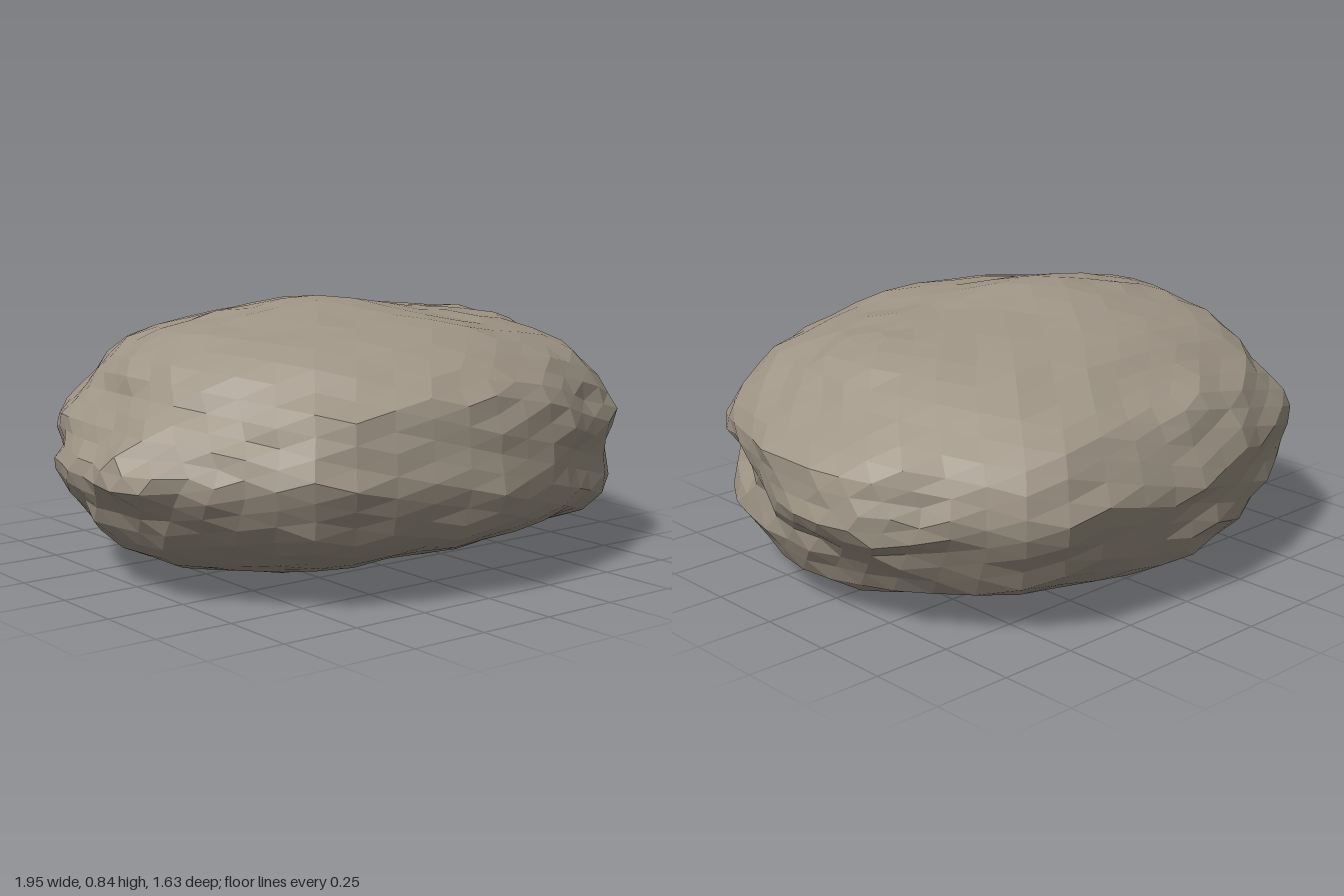
import * as THREE from 'three';

// Half extents and middle height of the boulder
const HALF = new THREE.Vector3(1, 0.43, 0.8);
const MID_Y = 0.42;

// Outlines around the boulder: across/up, depth/up and across/depth
const frontOutline = [
  [-.95, .4], [-.88, .47], [-.81, .55], [-.76, .69], [-.68, .73], [-.58, .79], [-.35, .82], [-.2, .855],
  [-.1, .855], [.2, .8], [.55, .78], [.7, .74], [.85, .6], [.97, .52], [.98, .46], [.94, .34], [.86, .2],
  [.82, .09], [.75, .06], [.5, .03], [.1, .04], [-.1, .02], [-.37, 0], [-.65, .06], [-.8, .14], [-.88, .22],
  [-.92, .3]];
const sideOutline = [
  [.8, .4], [.78, .58], [.76, .64], [.65, .71], [.5, .78], [.4, .8], [.25, .81], [.1, .855], [-.03, .855],
  [-.2, .81], [-.35, .8], [-.5, .76], [-.6, .68], [-.72, .61], [-.77, .52], [-.8, .4], [-.785, .25],
  [-.72, .13], [-.62, .07], [-.4, .06], [-.25, .015], [-.15, 0], [0, .02], [.3, .04], [.5, .1], [.7, .17],
  [.77, .22]];
const topOutline = [
  [1, -.2], [.97, 0], [.9, .2], [.83, .45], [.73, .57], [.5, .63], [.3, .76], [.15, .78], [0, .8], [-.2, .77],
  [-.5, .72], [-.62, .66], [-.75, .5], [-.93, .33], [-1, .22], [-.92, .03], [-.9, -.1], [-.85, -.3],
  [-.78, -.42], [-.67, -.61], [-.45, -.7], [-.2, -.79], [0, -.8], [.28, -.8], [.55, -.77], [.65, -.7],
  [.82, -.5], [.95, -.38]];

// Returns a function giving the radius of an outline towards (a, b), where 1 is a plain ellipse
function outlineRadius(points, halfA, halfB, centreB) {
  const p = points.map(([a, b]) => [a / halfA, (b - centreB) / halfB]);
  return (a, b) => {
    const len = Math.hypot(a, b);
    let best = 0;
    for (let i = 0; i < p.length; i++) {
      const [x0, y0] = p[i], [x1, y1] = p[(i + 1) % p.length];
      const ex = x1 - x0, ey = y1 - y0;
      const det = a * ey - b * ex;
      if (Math.abs(det) < 1e-9) continue;
      const t = (x0 * ey - y0 * ex) / det;
      const s = (x0 * b - y0 * a) / det;
      if (t > 0 && s >= -1e-6 && s <= 1 + 1e-6) best = Math.max(best, t * len);
    }
    return best || 1;
  };
}

// Bulge (or dent, if negative) around a direction
const bump = (d, x, y, z, width, amount) =>
  amount * Math.exp(-((d.x - x) ** 2 + (d.y - y) ** 2 + (d.z - z) ** 2) / (width * width));

// Broken, layered surface relief
function relief(d) {
  const { x, y, z } = d;
  return 0.008 * Math.sin(7 * x + 3 * y + 1) * Math.sin(6 * z - 5 * y)
    + 0.010 * (1 - y * y) * Math.sin(13 * y + 3 * x - 2 * z)
    + 0.010 * Math.sin(17 * x + 11 * z) * Math.sin(15 * y - 13 * z + 2)
    + 0.009 * Math.sin(29 * x - 23 * y + 3) * Math.sin(31 * z + 19 * y)
    + bump(d, .70, -.5, .5, .25, .07)    // low front corner that juts out
    + bump(d, .84, -.1, .53, .17, -.09)  // notch above that corner
    + bump(d, .97, -.12, .2, .2, -.05)   // groove across the end
    + bump(d, .85, -.45, .2, .2, .02)    // ledge below the groove
    + bump(d, -.75, .35, .55, .2, -.04); // hollow above the pointed end
}

function boulderGeometry() {
  const front = outlineRadius(frontOutline, HALF.x, HALF.y, MID_Y);
  const side = outlineRadius(sideOutline, HALF.z, HALF.y, MID_Y);
  const top = outlineRadius(topOutline, HALF.x, HALF.z, 0);
  const weight = (n) => 1 / (n * n + 0.02);
  const geometry = new THREE.IcosahedronGeometry(1, 8);
  const pos = geometry.attributes.position;
  const d = new THREE.Vector3();
  for (let i = 0; i < pos.count; i++) {
    d.fromBufferAttribute(pos, i).normalize();
    // Blend the outlines, each strongest near its own plane
    const wf = weight(d.z), ws = weight(d.x), wt = weight(d.y);
    const blend = (wf * front(d.x, d.y) + ws * side(d.z, d.y) + wt * top(d.x, d.z)) / (wf + ws + wt);
    const r = blend + relief(d);
    pos.setXYZ(i, d.x * r * HALF.x, d.y * r * HALF.y, d.z * r * HALF.z);
  }
  // Rest on the ground, centred
  geometry.computeBoundingBox();
  const centre = geometry.boundingBox.getCenter(new THREE.Vector3());
  geometry.translate(-centre.x, -geometry.boundingBox.min.y, -centre.z);
  geometry.computeVertexNormals();
  return geometry;
}

export function createModel() {
  const group = new THREE.Group();
  group.name = 'rock';
  const stone = new THREE.MeshStandardMaterial({ color: 0x9f9586, flatShading: true });
  const boulder = new THREE.Mesh(boulderGeometry(), stone);
  boulder.name = 'boulder';
  group.add(boulder);
  return group;
}
